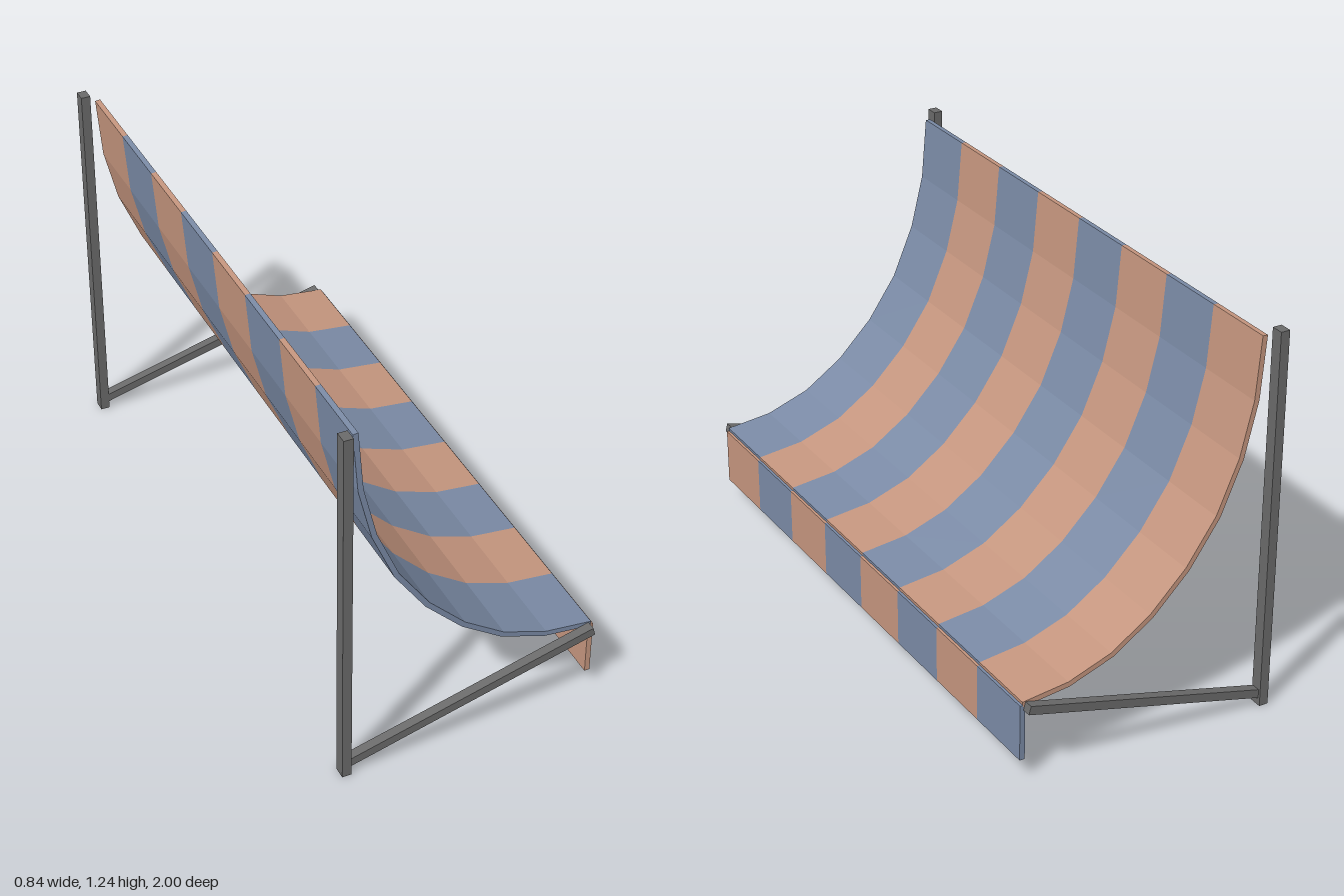
import * as THREE from 'three';

const blue = new THREE.MeshStandardMaterial({ color: 0x7a8aa5 });
blue.name = 'slate blue fabric';
const clay = new THREE.MeshStandardMaterial({ color: 0xc4957e });
clay.name = 'terracotta fabric';
const grey = new THREE.MeshStandardMaterial({ color: 0x6a6a6a });
grey.name = 'grey metal';

// Centre line of the canopy, from the wall down to the front edge
const curve = [
  [-0.371, 1.22], [-0.354, 1.02], [-0.311, 0.845], [-0.239, 0.676], [-0.14, 0.532],
  [-0.021, 0.412], [0.111, 0.323], [0.256, 0.271], [0.41, 0.253],
].map(([x, y]) => new THREE.Vector2(x, y));

// Closed outline of a given thickness around a polyline
function ribbon(points, thickness) {
  const sides = [[], []];
  points.forEach((p, i) => {
    const a = points[Math.max(i - 1, 0)];
    const b = points[Math.min(i + 1, points.length - 1)];
    const d = b.clone().sub(a).normalize().multiplyScalar(thickness / 2);
    sides[0].push(new THREE.Vector2(p.x + d.y, p.y - d.x));
    sides[1].unshift(new THREE.Vector2(p.x - d.y, p.y + d.x));
  });
  return new THREE.Shape([...sides[0], ...sides[1]]);
}

export function createModel() {
  const model = new THREE.Group();
  model.name = 'awning';

  function add(parent, name, geometry, material, x, y, z) {
    const mesh = new THREE.Mesh(geometry, material);
    mesh.name = name;
    mesh.position.set(x, y, z);
    parent.add(mesh);
    return mesh;
  }

  // Striped canopy with a hanging valance in the opposite colours
  const canopy = new THREE.Group();
  canopy.name = 'canopy';
  const valance = new THREE.Group();
  valance.name = 'valance';
  model.add(canopy, valance);
  const count = 8, width = 0.24;
  const stripe = new THREE.ExtrudeGeometry(ribbon(curve, 0.017), { depth: width, bevelEnabled: false });
  const flap = new THREE.BoxGeometry(0.017, 0.185, width);
  for (let i = 0; i < count; i++) {
    const z = -0.96 + i * width;
    add(canopy, 'canopyStripe', stripe, i % 2 ? blue : clay, 0, 0, z);
    add(valance, 'valanceStripe', flap, i % 2 ? clay : blue, 0.41, 0.158, z + width / 2);
  }

  // Wall post and sloping arm at each end
  const from = new THREE.Vector2(-0.4, 0.038), to = new THREE.Vector2(0.405, 0.249);
  const span = to.clone().sub(from);
  for (const side of [1, -1]) {
    add(model, 'wallPost', new THREE.BoxGeometry(0.03, 1.24, 0.04), grey, -0.41, 0.62, side * 0.98);
    const arm = add(model, 'supportArm', new THREE.BoxGeometry(span.length(), 0.028, 0.03), grey,
      (from.x + to.x) / 2, (from.y + to.y) / 2, side * 0.977);
    arm.rotation.z = span.angle();
  }
  return model;
}
